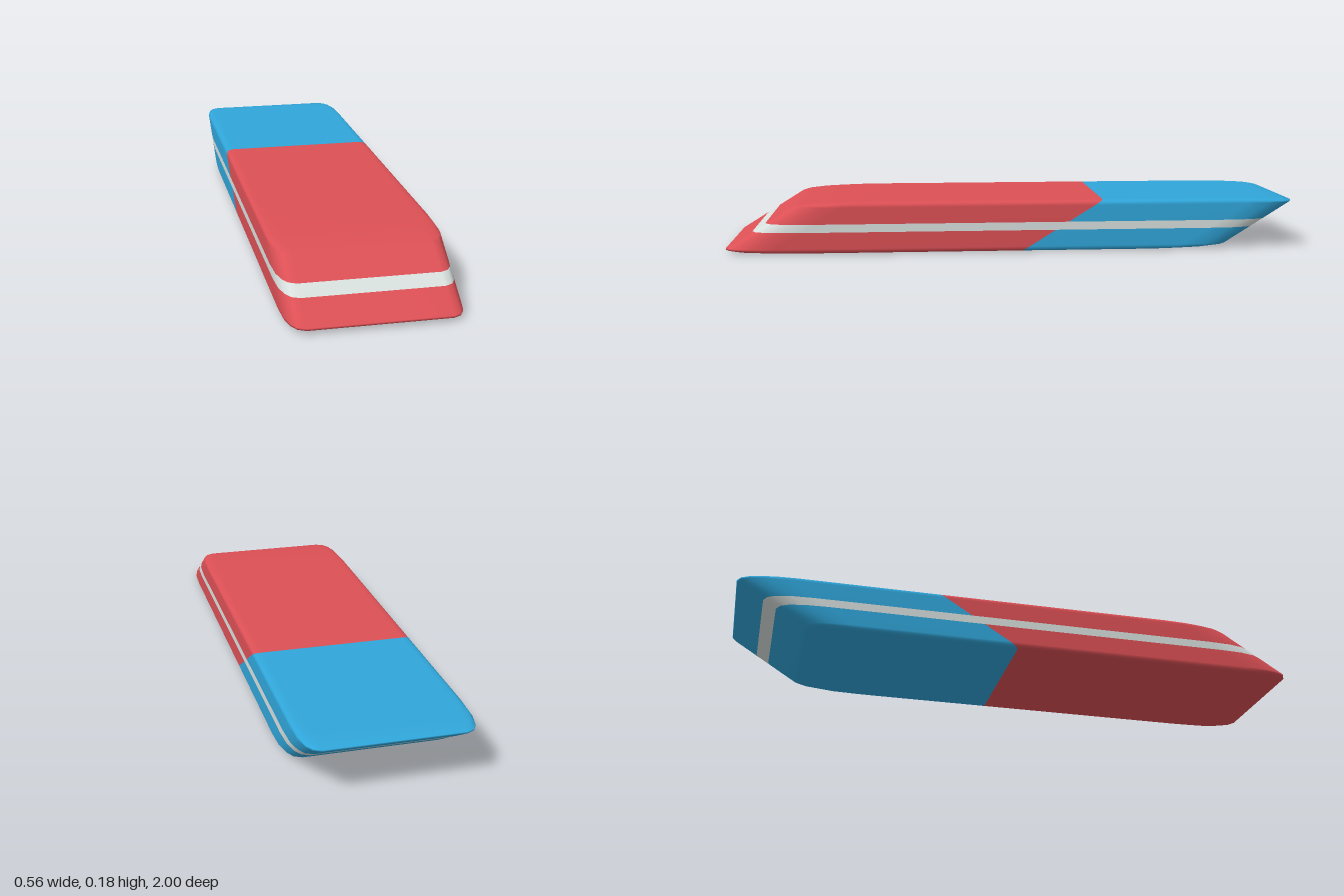
import * as THREE from 'three';

const HALF_W = 0.28, HALF_L = 0.882, HALF_H = 0.0895;
const SHEAR = 1.6;      // how far the block leans along z per unit of height
const SPLIT = -0.17;    // where the two colours meet, before leaning
const COUNT = 22;       // points in one cross-section

// Rounded corner: distance in from the side and from the end
const CORNER = [[0, 0.17], [0.004, 0.09], [0.015, 0.04], [0.03, 0.013], [0.055, 0]];

// Upper half of the edge profile: height from the middle, inset in x, inset along the length
const EDGE = [
  [0.014, 0, 0],
  [HALF_H - 0.018, 0, 0],
  [HALF_H - 0.012, 0.001, 0.008],
  [HALF_H - 0.006, 0.004, 0.05],
  [HALF_H - 0.002, 0.012, 0.12],
  [HALF_H, 0.03, 0.32],
];
const RINGS = [...EDGE.map(([d, x, l]) => [-d, x, l]).reverse(), ...EDGE];

// One horizontal cross-section, leaned according to its height
function ring([d, insetX, insetL]) {
  const w = HALF_W - insetX, l = HALF_L - insetL;
  const front = CORNER.map(([a, b]) => [w - a, l - b]);
  const frontFar = front.map(([x, s]) => [-x, s]).reverse();
  const half = [...front, ...frontFar];
  const back = half.map(([x, s]) => [-x, -s]);
  const loop = [[w, SPLIT], ...half, [-w, SPLIT], ...back];
  return loop.flatMap(([x, s]) => [x, HALF_H + d, s - SHEAR * d]);
}

export function createModel() {
  const group = new THREE.Group();
  group.name = 'eraser';

  const red = new THREE.MeshStandardMaterial({ color: 0xdc5055 });
  red.name = 'red rubber';
  const blue = new THREE.MeshStandardMaterial({ color: 0x30a6da });
  blue.name = 'blue rubber';
  const white = new THREE.MeshStandardMaterial({ color: 0xd8e0de });
  white.name = 'pale stripe';

  const faces = { front: [], back: [], stripe: [] };
  const last = RINGS.length - 1;

  // Side walls, with the stripe in the middle band
  for (let r = 0; r < last; r++) {
    for (let i = 0; i < COUNT; i++) {
      const j = (i + 1) % COUNT;
      const a = r * COUNT + i, b = r * COUNT + j;
      const c = a + COUNT, d = b + COUNT;
      const part = r === EDGE.length - 1 ? 'stripe' : i < 11 ? 'front' : 'back';
      faces[part].push(a, c, d, a, d, b);
    }
  }

  // Top and bottom, as strips across the width
  for (const [part, start] of [['front', 0], ['back', 11]]) {
    for (let k = 0; k < 5; k++) {
      const a = start + k, b = a + 1;
      const c = (start + 11 - k) % COUNT, d = start + 10 - k;
      faces[part].push(a, b, c, b, d, c);
      const t = last * COUNT;
      faces[part].push(t + a, t + c, t + b, t + b, t + c, t + d);
    }
  }

  // Smooth normals are found over the whole block, then shared by its parts
  const whole = new THREE.BufferGeometry();
  whole.setAttribute('position', new THREE.Float32BufferAttribute(RINGS.flatMap(ring), 3));
  whole.setIndex([...faces.front, ...faces.back, ...faces.stripe]);
  whole.computeVertexNormals();

  const addPart = (name, index, material) => {
    const geometry = new THREE.BufferGeometry();
    geometry.setAttribute('position', whole.getAttribute('position'));
    geometry.setAttribute('normal', whole.getAttribute('normal'));
    geometry.setIndex(index);
    const mesh = new THREE.Mesh(geometry, material);
    mesh.name = name;
    group.add(mesh);
  };
  addPart('frontRubber', faces.front, red);
  addPart('backRubber', faces.back, blue);
  addPart('stripe', faces.stripe, white);
  return group;
}
